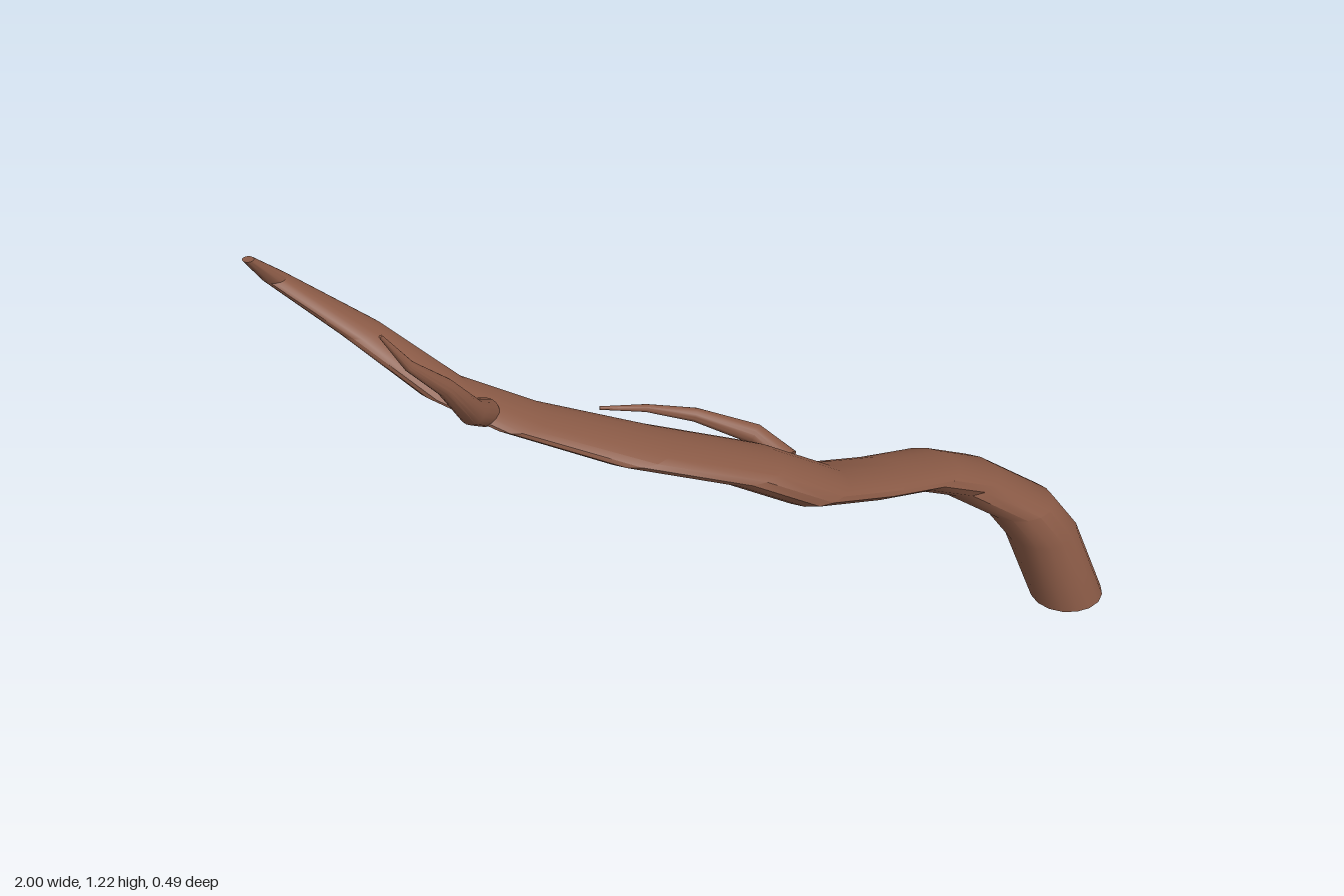
import * as THREE from 'three';
import { toCreasedNormals } from 'three/addons/utils/BufferGeometryUtils.js';

const SIDES = 16;
const UP = new THREE.Vector3(0, 1, 0);
const bark = new THREE.MeshStandardMaterial({ color: 0x8a5a46 });

// Loft through rings [x, y, z, radius]; level rings stay horizontal, others face along the path
function limb(name, rings, level) {
  const centres = rings.map(([x, y, z]) => new THREE.Vector3(x, y, z));
  const last = rings.length - 1;
  const pos = [], idx = [];
  rings.forEach((ring, i) => {
    const dir = centres[Math.min(i + 1, last)].clone().sub(centres[Math.max(i - 1, 0)]).normalize();
    const turn = new THREE.Quaternion();
    if (!level) turn.setFromUnitVectors(UP, dir);
    for (let s = 0; s < SIDES; s++) {
      const a = (s / SIDES) * Math.PI * 2;
      const p = new THREE.Vector3(Math.cos(a), 0, -Math.sin(a)).multiplyScalar(ring[3]);
      pos.push(...p.applyQuaternion(turn).add(centres[i]).toArray());
    }
  });
  for (let i = 0; i < last; i++) {
    for (let s = 0; s < SIDES; s++) {
      const a = i * SIDES + s, b = i * SIDES + ((s + 1) % SIDES);
      idx.push(a, b, b + SIDES, a, b + SIDES, a + SIDES);
    }
  }
  // End caps
  const top = last * SIDES;
  for (let s = 1; s < SIDES - 1; s++) {
    idx.push(0, s + 1, s, top, top + s, top + s + 1);
  }
  const geo = new THREE.BufferGeometry();
  geo.setAttribute('position', new THREE.Float32BufferAttribute(pos, 3));
  geo.setIndex(idx);
  const mesh = new THREE.Mesh(toCreasedNormals(geo, 0.6), bark);
  mesh.name = name;
  return mesh;
}

export function createModel() {
  const group = new THREE.Group();
  group.name = 'branch';

  // Winding main stem, rising from the right to the left
  group.add(limb('mainStem', [
    [0.908, 0, -0.16, 0.088],
    [0.833, 0.2, -0.16, 0.088],
    [0.77, 0.29, -0.16, 0.088],
    [0.63, 0.385, -0.16, 0.088],
    [0.512, 0.46, -0.1, 0.088],
    [0.37, 0.5, -0.035, 0.088],
    [0.205, 0.575, 0.062, 0.088],
    [0.045, 0.675, 0.09, 0.088],
    [-0.2, 0.76, 0.09, 0.088],
    [-0.45, 0.845, 0.045, 0.07],
    [-0.6, 0.895, -0.03, 0.055],
    [-0.76, 1.0, -0.138, 0.047],
    [-0.93, 1.11, -0.211, 0.028],
    [-0.986, 1.19, -0.163, 0.013],
  ], true));

  // Forward twig near the tip
  group.add(limb('frontTwig', [
    [-0.52, 0.865, 0.045, 0.032],
    [-0.56, 0.925, 0.125, 0.03],
    [-0.625, 1.045, 0.198, 0.02],
    [-0.7, 1.125, 0.225, 0.012],
    [-0.757, 1.217, 0.243, 0.004],
  ], false));

  // Backward twig at mid length
  group.add(limb('backTwig', [
    [0.17, 0.595, -0.012, 0.028],
    [0.11, 0.63, -0.082, 0.024],
    [-0.02, 0.675, -0.123, 0.016],
    [-0.13, 0.7, -0.137, 0.009],
    [-0.235, 0.71, -0.145, 0.004],
  ], false));

  return group;
}
